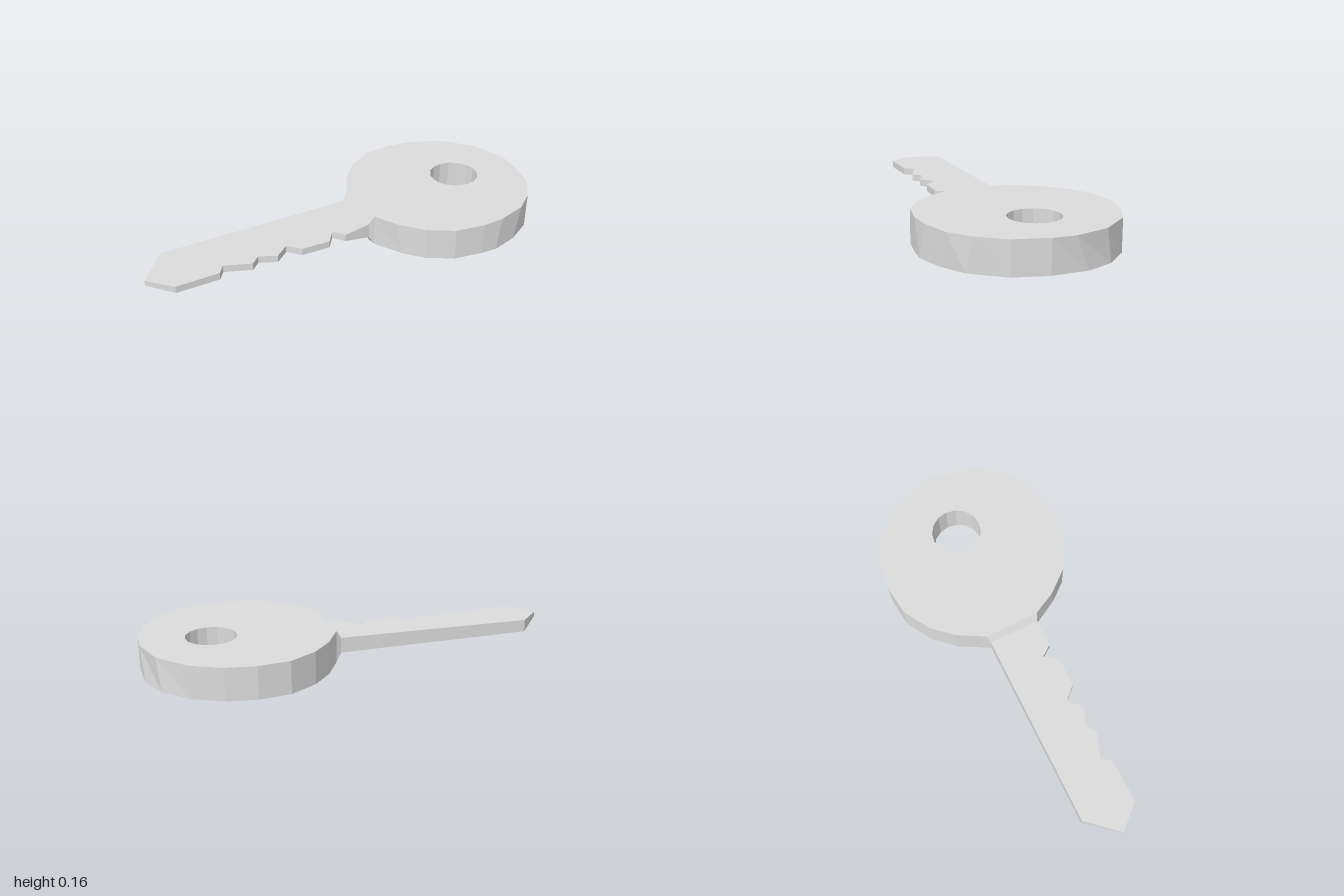
import * as THREE from 'three';

const HEIGHT = 0.155, MID = HEIGHT / 2;

// Slab from a plan outline of [x, z] points, rising from y = 0 to HEIGHT
function slab(outline, hole) {
  const shape = new THREE.Shape(outline.map(([x, z]) => new THREE.Vector2(x, -z)));
  if (hole) shape.holes.push(new THREE.Path(hole.map(([x, z]) => new THREE.Vector2(x, -z))));
  return new THREE.ExtrudeGeometry(shape, { depth: HEIGHT, bevelEnabled: false, steps: 1 }).rotateX(-Math.PI / 2);
}

// Set the half thickness of a slab at each plan position
function thin(geometry, halfAt) {
  const p = geometry.attributes.position;
  for (let i = 0; i < p.count; i++) {
    p.setY(i, MID + Math.sign(p.getY(i) - MID) * halfAt(p.getX(i), p.getZ(i)));
  }
  return geometry;
}

// Move chosen outline points along the bottom rim, so the side facets slant
function slantRim(geometry, outline, moves) {
  const p = geometry.attributes.position;
  for (let i = 0; i < p.count; i++) {
    if (p.getY(i) > MID) continue;
    for (const [index, x, z] of moves) {
      const [x0, z0] = outline[index];
      if (Math.hypot(p.getX(i) - x0, p.getZ(i) - z0) < 0.001) {
        p.setXYZ(i, x, p.getY(i), z);
        break;
      }
    }
  }
  geometry.computeVertexNormals();
  return geometry;
}

export function createModel() {
  const key = new THREE.Group();
  key.name = 'key';
  const metal = new THREE.MeshStandardMaterial({ color: 0xdcdcdc });
  metal.name = 'silver metal';
  const add = (name, geometry) => {
    const mesh = new THREE.Mesh(geometry, metal);
    mesh.name = name;
    key.add(mesh);
  };

  // Round bow with an off-centre ring hole
  const bow = [
    [0.105, -0.14], [0.18, -0.27], [0.27, -0.365], [0.40, -0.44], [0.55, -0.455],
    [0.69, -0.43], [0.83, -0.36], [0.95, -0.22], [1, -0.055], [0.995, 0.05],
    [0.955, 0.21], [0.865, 0.33], [0.765, 0.405], [0.62, 0.445], [0.51, 0.45],
    [0.37, 0.425], [0.25, 0.35], [0.16, 0.24], [0.105, 0.13],
  ];
  const hole = [];
  for (let i = 0; i < 16; i++) {
    const a = (i / 16) * Math.PI * 2;
    hole.push([0.672 + 0.121 * Math.cos(a), -0.027 - 0.121 * Math.sin(a)]);
  }
  add('bow', slantRim(slab(bow, hole), bow, [
    [7, 0.935, -0.25], [8, 0.99, -0.12], [11, 0.845, 0.35],
    [12, 0.72, 0.42], [13, 0.59, 0.455], [17, 0.18, 0.265],
  ]));

  // Sloped collar between bow and blade
  const collar = slab([[0.08, -0.13], [0.105, -0.14], [0.105, 0.13], [0.08, 0.12]]);
  thin(collar, (x) => (x > 0.09 ? MID : 0.037)).computeVertexNormals();
  add('collar', collar);

  // Toothed blade, thinner along the cut edge and at the tip;
  // it keeps the slab's straight normals so its broad faces shade evenly
  const blade = slab([
    [-1, 0], [-0.87, -0.145], [0.08, -0.13], [0.08, 0.12], [-0.05, 0.12],
    [-0.09, 0.065], [-0.14, 0.13], [-0.28, 0.125], [-0.335, 0.065], [-0.405, 0.12],
    [-0.485, 0.08], [-0.53, 0.12], [-0.655, 0.07], [-0.69, 0.115], [-0.9, 0.115],
  ]);
  add('blade', thin(blade, (x, z) => {
    if (x > 0.05) return 0.037;
    if (x < -0.95) return 0.012;
    return z < 0 ? 0.03 : 0.017;
  }));

  return key;
}
